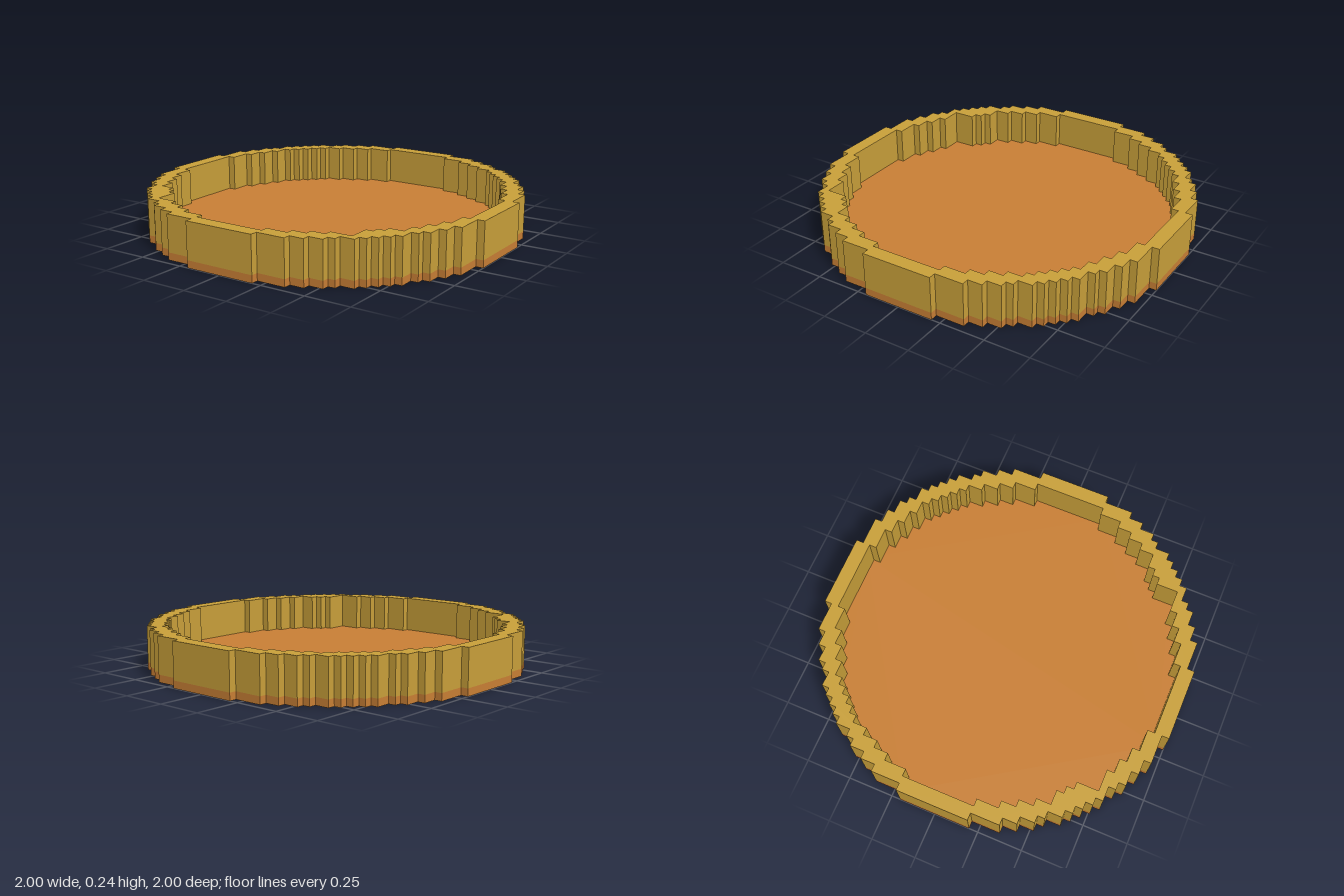
import * as THREE from 'three';

const CELL = 0.04; // grid step of the blocky circle

// Half width, in cells, of each row of a pixel circle with the given radius
function rowWidths(radius) {
  const rows = [];
  for (let k = 0; k < radius; k++) {
    rows.push(Math.floor(Math.sqrt(radius ** 2 - (k + 0.5) ** 2) + 0.5));
  }
  return rows;
}

// Stepped closed outline from row widths (front half, back half)
function steppedOutline(front, back) {
  // rows run from the front (-y in the shape) to the back (+y)
  const rows = [...front].reverse().concat(back);
  const n = front.length;
  const right = [];
  rows.forEach((w, i) => {
    if (i === 0 || rows[i - 1] !== w) right.push([w, i - n]);
    if (i === rows.length - 1 || rows[i + 1] !== w) right.push([w, i + 1 - n]);
  });
  const left = right.map(([x, y]) => [-x, y]).reverse();
  return [...right, ...left].map(([x, y]) => new THREE.Vector2(x * CELL, y * CELL));
}

// Upright slab between two heights
function slab(name, shape, bottom, top, material) {
  const geometry = new THREE.ExtrudeGeometry(shape, { depth: top - bottom, bevelEnabled: false });
  geometry.rotateX(-Math.PI / 2);
  geometry.translate(0, bottom, 0);
  const mesh = new THREE.Mesh(geometry, material);
  mesh.name = name;
  return mesh;
}

export function createModel() {
  const orange = new THREE.MeshStandardMaterial({ color: 0xc97f35 });
  orange.name = 'orange';
  const gold = new THREE.MeshStandardMaterial({ color: 0xc9a03a });
  gold.name = 'gold';

  const outerRows = rowWidths(25);
  const innerBack = rowWidths(23);
  const innerFront = [...innerBack];
  // the inner wall has squarer corners at the front
  [17, 16, 15, 15, 15].forEach((w, i) => { innerFront[14 + i] = w; });

  const outer = steppedOutline(outerRows, outerRows);
  const rimShape = new THREE.Shape(outer);
  rimShape.holes.push(new THREE.Path(steppedOutline(innerFront, innerBack)));

  const model = new THREE.Group();
  model.name = 'roundTray';
  model.add(
    slab('base', new THREE.Shape(outer), 0, 0.04, orange),
    slab('rim', rimShape, 0.04, 0.24, gold),
  );
  return model;
}
